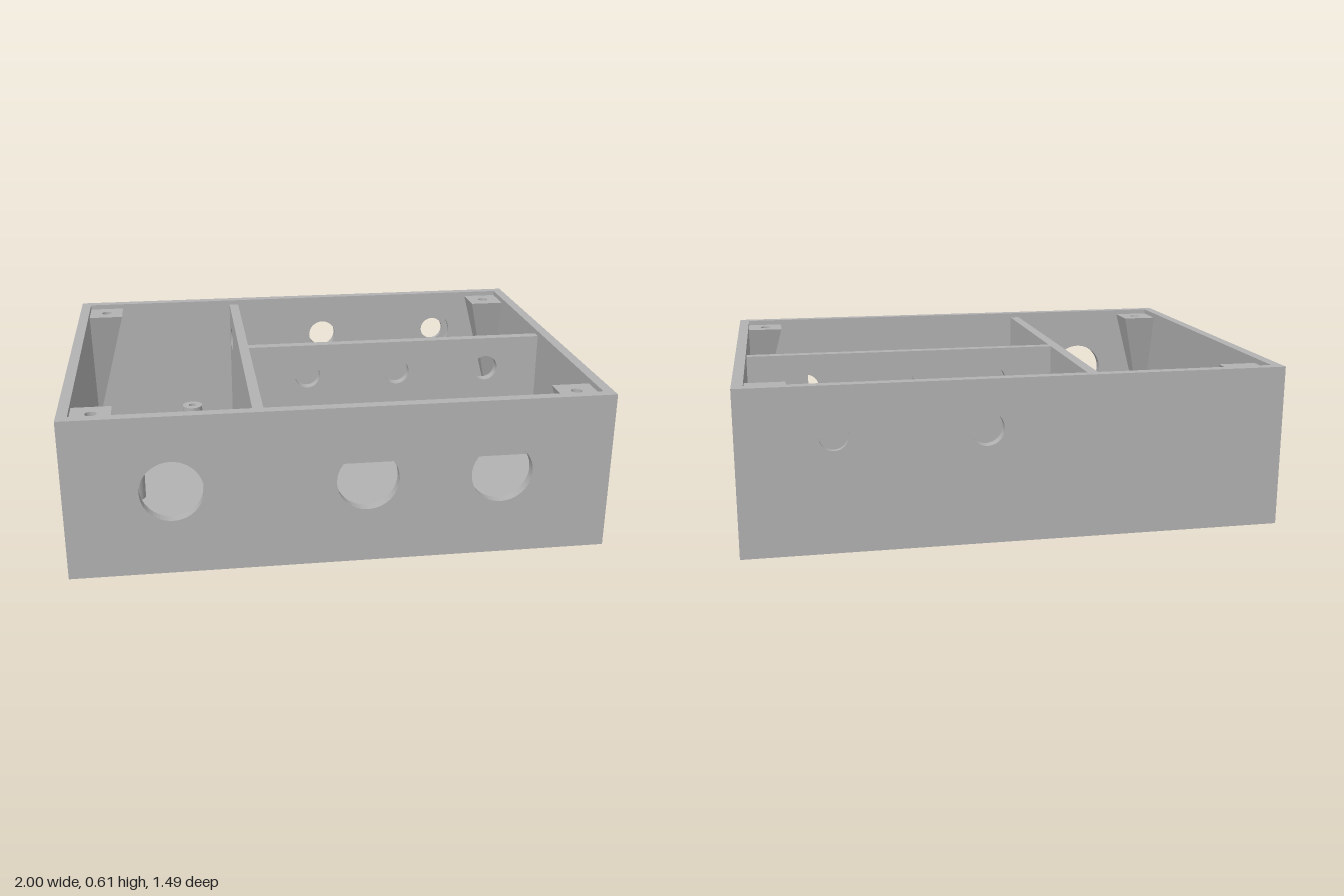
import * as THREE from 'three';

const grey = new THREE.MeshStandardMaterial({ color: 0xb2b2b2, side: THREE.DoubleSide });
grey.name = 'grey plastic';

const W = 1, D = 0.746, H = 0.61;   // half width, half depth, height
const T = 0.04;                     // wall and floor thickness
const IX = W - T, IZ = D - T;       // inner half sizes
const SEAT = 0.59;                  // height of posts and partitions, just under the rim

// Rectangle from (u0,v0) to (u1,v1) with round holes [u, v, radius]
function plate(u0, v0, u1, v1, holes = []) {
  const shape = new THREE.Shape([[u0, v0], [u1, v0], [u1, v1], [u0, v1]].map(p => new THREE.Vector2(...p)));
  for (const [u, v, r] of holes) shape.holes.push(new THREE.Path().absarc(u, v, r, 0, Math.PI * 2, true));
  return shape;
}

const extrude = (shape, depth) =>
  new THREE.ExtrudeGeometry(shape, { depth, bevelEnabled: false, curveSegments: 24 });

export function createModel() {
  const model = new THREE.Group();
  model.name = 'enclosure';
  const add = (name, geometry, parent = model) => {
    const mesh = new THREE.Mesh(geometry, grey);
    mesh.name = name;
    parent.add(mesh);
    return mesh;
  };

  // Floor with two through holes
  add('floor', extrude(plate(-W, -D, W, D, [[0.668, -0.364, 0.024], [-0.626, 0.449, 0.024]]), T)
    .rotateX(Math.PI / 2).translate(0, T, 0));

  // Front wall with three large openings
  const frontHoles = [-0.618, 0.088, 0.586].map(x => [x, 0.324, 0.115]);
  add('frontWall', extrude(plate(-W, T, W, H, frontHoles), T).translate(0, 0, IZ));

  // Back wall in two layers: one hole is wider on the inside
  [[0.052, -D], [0.08, -D + T / 2]].forEach(([r, z], i) =>
    add(i ? 'backWallInner' : 'backWallOuter',
      extrude(plate(-W, T, W, H, [[0.12, 0.428, 0.062], [0.662, 0.428, r]]), T / 2).translate(0, 0, z)));

  // Plain side walls
  for (const [name, x] of [['leftWall', IX], ['rightWall', -W]])
    add(name, extrude(plate(-IZ, T, IZ, H), T).rotateY(Math.PI / 2).translate(x, 0, 0));

  // Partitions with cable holes
  add('longPartition', extrude(plate(-IZ, T, IZ, SEAT, [[0.59, 0.457, 0.05]]), T)
    .rotateY(Math.PI / 2).translate(-0.32, 0, 0));
  const cableHoles = [-0.035, 0.347, 0.733].map(x => [x, 0.457, 0.053]);
  add('crossPartition', extrude(plate(-0.28, T, IX, SEAT, cableHoles), T).translate(0, 0, -0.075));

  // Corner posts tapering down into the corner, each with a blind screw hole
  const px = 0.145, pz = 0.14, ph = SEAT - T, bore = 0.15, br = 0.021;
  const taper = new THREE.BufferGeometry();
  taper.setAttribute('position', new THREE.Float32BufferAttribute([
    0, 0, 0, px, ph, 0, px, ph, pz,
    0, 0, 0, px, ph, pz, 0, ph, pz], 3));
  taper.computeVertexNormals();
  const hx = 0.074, hz = 0.07;
  const postTop = new THREE.ShapeGeometry(plate(0, -pz, px, 0, [[hx, -hz, br]]), 24)
    .rotateX(-Math.PI / 2).translate(0, ph, 0);
  const boreWall = new THREE.CylinderGeometry(br, br, bore, 24, 1, true).translate(hx, ph - bore / 2, hz);
  const boreEnd = new THREE.CircleGeometry(br, 24).rotateX(-Math.PI / 2).translate(hx, ph - bore, hz);
  for (const sx of [1, -1]) for (const sz of [1, -1]) {
    const post = new THREE.Group();
    post.name = (sz > 0 ? 'front' : 'back') + (sx > 0 ? 'Left' : 'Right') + 'Post';
    add('postTaper', taper, post);
    add('postTop', postTop, post);
    add('screwHoleWall', boreWall, post);
    add('screwHoleEnd', boreEnd, post);
    post.position.set(sx * IX, T, sz * IZ);
    post.scale.set(-sx, 1, -sz);
    model.add(post);
  }

  // Hollow round standoffs on the floor
  const ring = [[0.016, 0], [0.043, 0], [0.043, 0.2], [0.016, 0.2], [0.016, 0]];
  for (const [x, z] of [[-0.519, -0.323], [-0.773, 0.174]]) {
    const standoff = new THREE.Group();
    standoff.name = 'standoff';
    for (let i = 1; i < 4; i++)   // separate spans keep the edges sharp
      add('standoffFace', new THREE.LatheGeometry(
        [ring[i], ring[i + 1]].map(p => new THREE.Vector2(...p)), 24), standoff);
    standoff.position.set(x, T, z);
    model.add(standoff);
  }

  return model;
}
